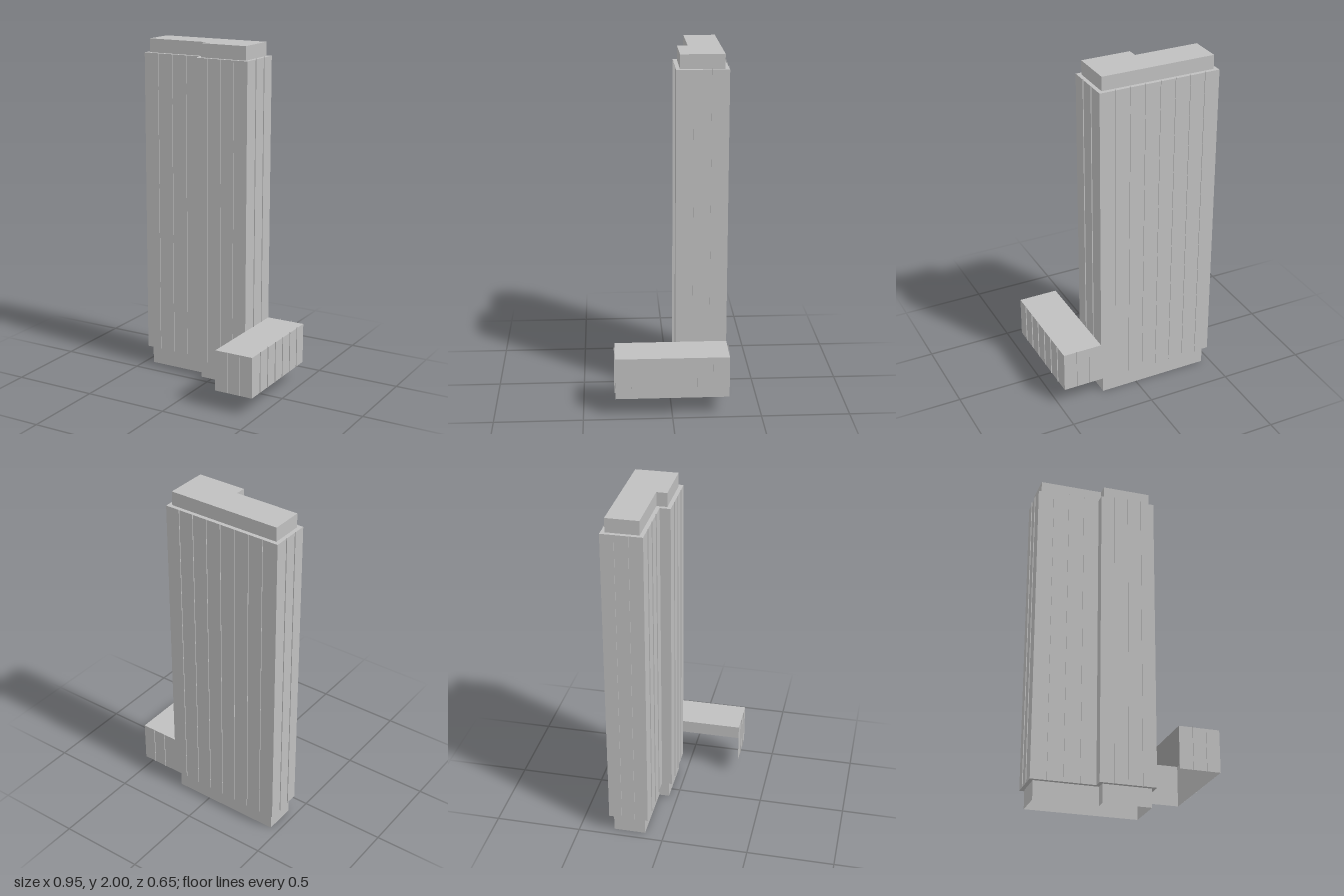
import * as THREE from 'three';

export function createModel() {
  const model = new THREE.Group();
  const concrete = new THREE.MeshStandardMaterial({ color: 0xbfbfbf, side: THREE.DoubleSide });
  concrete.name = 'light grey concrete';

  const add = (geometry, name, parent) => {
    const mesh = new THREE.Mesh(geometry, concrete);
    mesh.name = name;
    parent.add(mesh);
    return mesh;
  };

  const group = (name) => {
    const g = new THREE.Group();
    g.name = name;
    model.add(g);
    return g;
  };

  // Upright walls along a path of [x, z] points, front side facing outward
  const walls = (path, y0, y1, parent) => {
    for (let i = 0; i < path.length - 1; i++) {
      const [ax, az] = path[i], [bx, bz] = path[i + 1];
      const geometry = new THREE.PlaneGeometry(Math.hypot(bx - ax, bz - az), y1 - y0);
      const wall = add(geometry, 'wall', parent);
      wall.position.set((ax + bx) / 2, (y0 + y1) / 2, (az + bz) / 2);
      wall.rotation.y = Math.atan2(az - bz, bx - ax);
    }
  };

  // Flat slab surface filling an outline
  const slab = (path, y, name, parent) => {
    const shape = new THREE.Shape(path.map(([x, z]) => new THREE.Vector2(x, -z)));
    add(new THREE.ShapeGeometry(shape).rotateX(-Math.PI / 2), name, parent).position.y = y;
  };

  // Thin blades standing out of a wall; (nx, nz) is the outward direction
  const FIN = 0.005;
  const fins = (points, nx, nz, y0, y1, parent) => {
    for (const [x, z] of points) {
      const fin = add(new THREE.PlaneGeometry(FIN, y1 - y0), 'fin', parent);
      fin.position.set(x + nx * FIN / 2, (y0 + y1) / 2, z + nz * FIN / 2);
      fin.rotation.y = nx ? 0 : Math.PI / 2;
    }
  };

  // Stepped tower footprint, shrunk inward by d
  const footprint = (d) => [
    [-0.472 + d, -0.09 - d], [-0.095 + d, -0.09 - d], [-0.095 + d, -0.03 - d],
    [0.238 - d, -0.03 - d], [0.238 - d, -0.321 + d], [-0.472 + d, -0.321 + d],
  ];
  const closed = (path) => [...path, path[0]];

  const LOW = 0.11, WING = 0.35, ROOF = 1.92;
  const inner = footprint(0.023), outer = footprint(0);

  // Recessed base, open below
  walls(closed(inner), 0, LOW, group('base'));

  // Tower shaft
  const tower = group('tower');
  walls(closed(outer), LOW, ROOF, tower);
  slab(outer, LOW, 'soffit', tower);
  slab(outer, ROOF, 'roof', tower);

  // Recessed crown
  const crown = group('crown');
  walls(closed(inner), ROOF, 2, crown);
  slab(inner, 2, 'crownRoof', crown);

  // Low side wing, open below and toward the tower
  const wing = group('wing');
  const wingPath = [[0.238, 0.319], [0.471, 0.319], [0.471, -0.321], [0.238, -0.321]];
  walls(wingPath, LOW, WING, wing);
  slab(wingPath, WING, 'wingRoof', wing);

  // Tower fins
  const towerFins = group('towerFins');
  const top = ROOF + 0.006;
  fins([-0.378, -0.283, -0.188].map((x) => [x, -0.09]), 0, 1, LOW, top, towerFins);
  fins([-0.012, 0.072, 0.155].map((x) => [x, -0.03]), 0, 1, LOW, top, towerFins);
  fins([-0.383, -0.295, -0.206, -0.117, -0.028, 0.061, 0.15].map((x) => [x, -0.321]), 0, -1, LOW, top, towerFins);
  fins([-0.244, -0.167].map((z) => [-0.472, z]), -1, 0, LOW, top, towerFins);
  fins([-0.224, -0.127].map((z) => [0.238, z]), 1, 0, WING, top, towerFins);

  // Wing fins
  const wingFins = group('wingFins');
  const wingTop = WING + 0.006;
  const wingX = [0.316, 0.393];
  fins(wingX.map((x) => [x, 0.319]), 0, 1, LOW, wingTop, wingFins);
  fins(wingX.map((x) => [x, -0.321]), 0, -1, LOW, wingTop, wingFins);
  for (let i = 1; i < 7; i++) {
    fins([[0.471, -0.321 + i * 0.64 / 7]], 1, 0, LOW, wingTop, wingFins);
  }

  return model;
}
